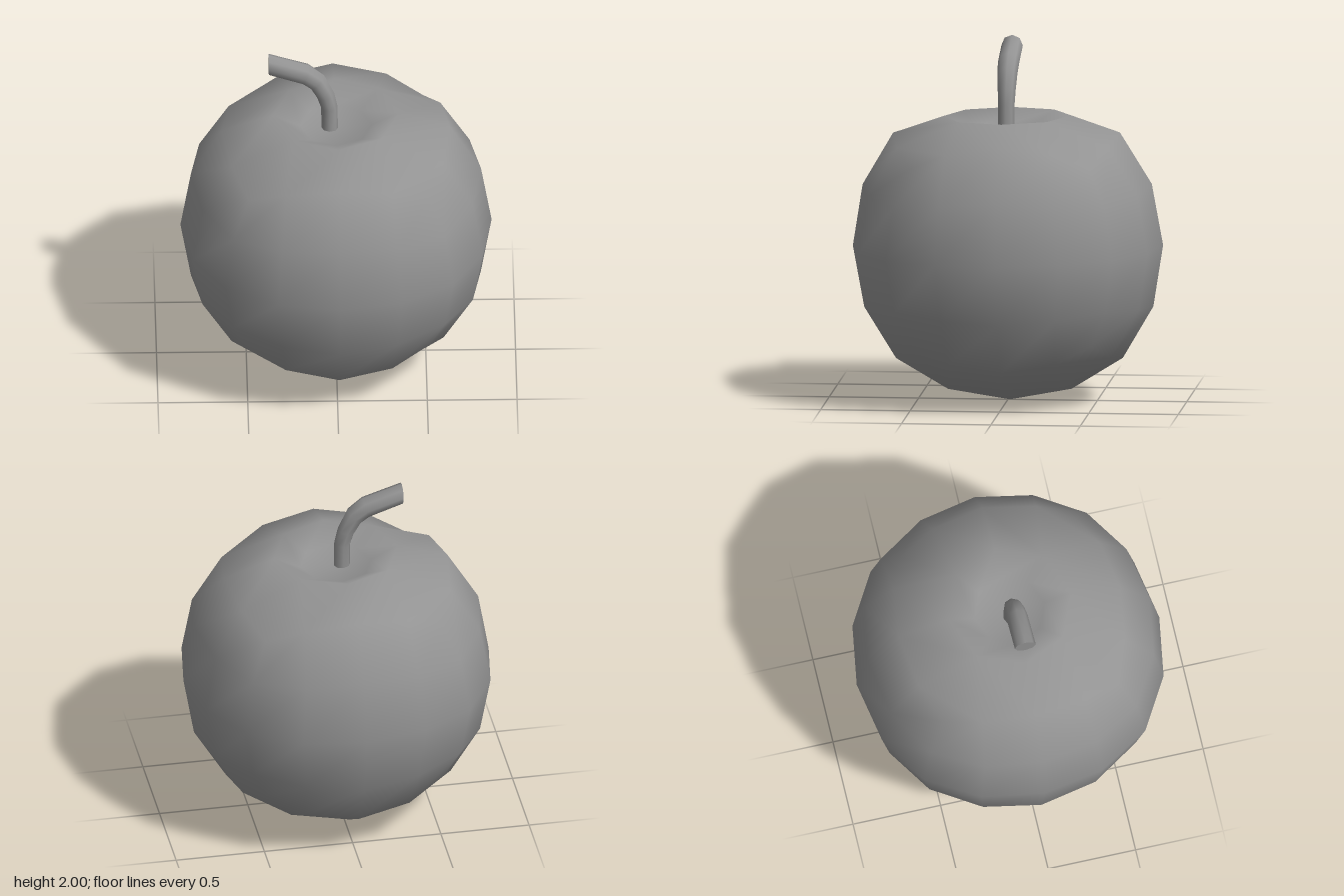
import * as THREE from 'three';
import { mergeVertices, toCreasedNormals } from 'three/addons/utils/BufferGeometryUtils.js';

const grey = () => new THREE.MeshStandardMaterial({ color: 0x939393 });

// Twice-subdivided cube: where a grid point lands, by its sorted distance from the axes
const ROUNDED = {
  '200': [0.867, 0, 0],
  '210': [0.808, 0.345, 0],
  '220': [0.634, 0.634, 0],
  '211': [0.753, 0.321, 0.321],
  '221': [0.590, 0.590, 0.297],
  '222': [0.501, 0.501, 0.501],
};
// Dimple heights and radii: round rim, inner ring and floor
const RIM = { r: 0.35, y: 0.728 };
const INNER = { r: 0.2, y: 0.655 };
const FLOOR_Y = 0.64;
// The eight rim points on the top grid, in order around the centre
const AROUND = [[0, 1], [1, 1], [1, 0], [1, -1], [0, -1], [-1, -1], [-1, 0], [-1, 1]];

// Round low-poly fruit with a dimple in the top
function createFruit() {
  let box = new THREE.BoxGeometry(4, 4, 4, 4, 4, 4);
  box.deleteAttribute('normal');
  box.deleteAttribute('uv');
  box = mergeVertices(box);
  const points = [], top = new Map();
  for (let i = 0; i < box.attributes.position.count; i++) {
    const grid = new THREE.Vector3().fromBufferAttribute(box.attributes.position, i).round().toArray();
    const order = [0, 1, 2].sort((a, b) => Math.abs(grid[b]) - Math.abs(grid[a]));
    const target = ROUNDED[order.map((k) => Math.abs(grid[k])).join('')];
    let p = [0, 0, 0];
    order.forEach((k, rank) => { p[k] = Math.sign(grid[k]) * target[rank]; });
    const [gx, gy, gz] = grid;
    if (gy === 2 && Math.abs(gx) < 2 && Math.abs(gz) < 2) {
      const s = RIM.r / (Math.hypot(gx, gz) || 1);
      p = [gx * s, gx || gz ? RIM.y : FLOOR_Y, gz * s];
      top.set(`${gx},${gz}`, i);
    }
    points.push(...p);
  }

  // Replace the flat middle of the top with a wall and a floor
  const inTop = new Set(top.values());
  const faces = [];
  for (let i = 0; i < box.index.count; i += 3) {
    const tri = [0, 1, 2].map((k) => box.index.getX(i + k));
    if (!tri.every((v) => inTop.has(v))) faces.push(...tri);
  }
  const first = points.length / 3;
  AROUND.forEach(([gx, gz], i) => {
    const s = INNER.r / Math.hypot(gx, gz);
    points.push(gx * s, INNER.y, gz * s);
    const next = (i + 1) % 8;
    const a = top.get(`${gx},${gz}`), b = top.get(AROUND[next].join());
    const c = first + i, d = first + next;
    faces.push(a, b, d, a, d, c, c, d, top.get('0,0'));
  });

  const geo = new THREE.BufferGeometry();
  geo.setAttribute('position', new THREE.Float32BufferAttribute(points, 3));
  geo.setIndex(faces);
  geo.computeVertexNormals();
  const mesh = new THREE.Mesh(geo, grey());
  mesh.name = 'fruit';
  mesh.position.y = 0.87;
  mesh.rotation.set(0.013, 0.013, 0);
  return mesh;
}

// Bent eight-sided stem, widening to a flat cut tip
function createStem() {
  // x, y, tilt in degrees, radius; from the tip down to the base
  const rings = [
    [-0.375, 1.94, 90, 0.06],
    [-0.17, 1.873, 72, 0.06],
    [-0.105, 1.822, 45, 0.056],
    [-0.058, 1.73, 20, 0.05],
    [-0.037, 1.65, 6, 0.046],
    [-0.035, 1.42, 0, 0.046],
  ];
  const last = rings.length - 1;
  const geo = new THREE.CylinderGeometry(1, 1, 1, 8, last);
  const pos = geo.attributes.position;
  for (let i = 0; i < pos.count; i++) {
    const [x, y, tilt, radius] = rings[Math.round((0.5 - pos.getY(i)) * last)];
    const a = THREE.MathUtils.degToRad(tilt);
    const out = pos.getX(i) * radius;
    pos.setXYZ(i, x + Math.cos(a) * out, y + Math.sin(a) * out, 0.013 + pos.getZ(i) * radius);
  }
  const mesh = new THREE.Mesh(toCreasedNormals(geo, 1.0), grey());
  mesh.name = 'stem';
  return mesh;
}

export function createModel() {
  const group = new THREE.Group();
  group.name = 'apple';
  group.add(createFruit(), createStem());
  return group;
}
